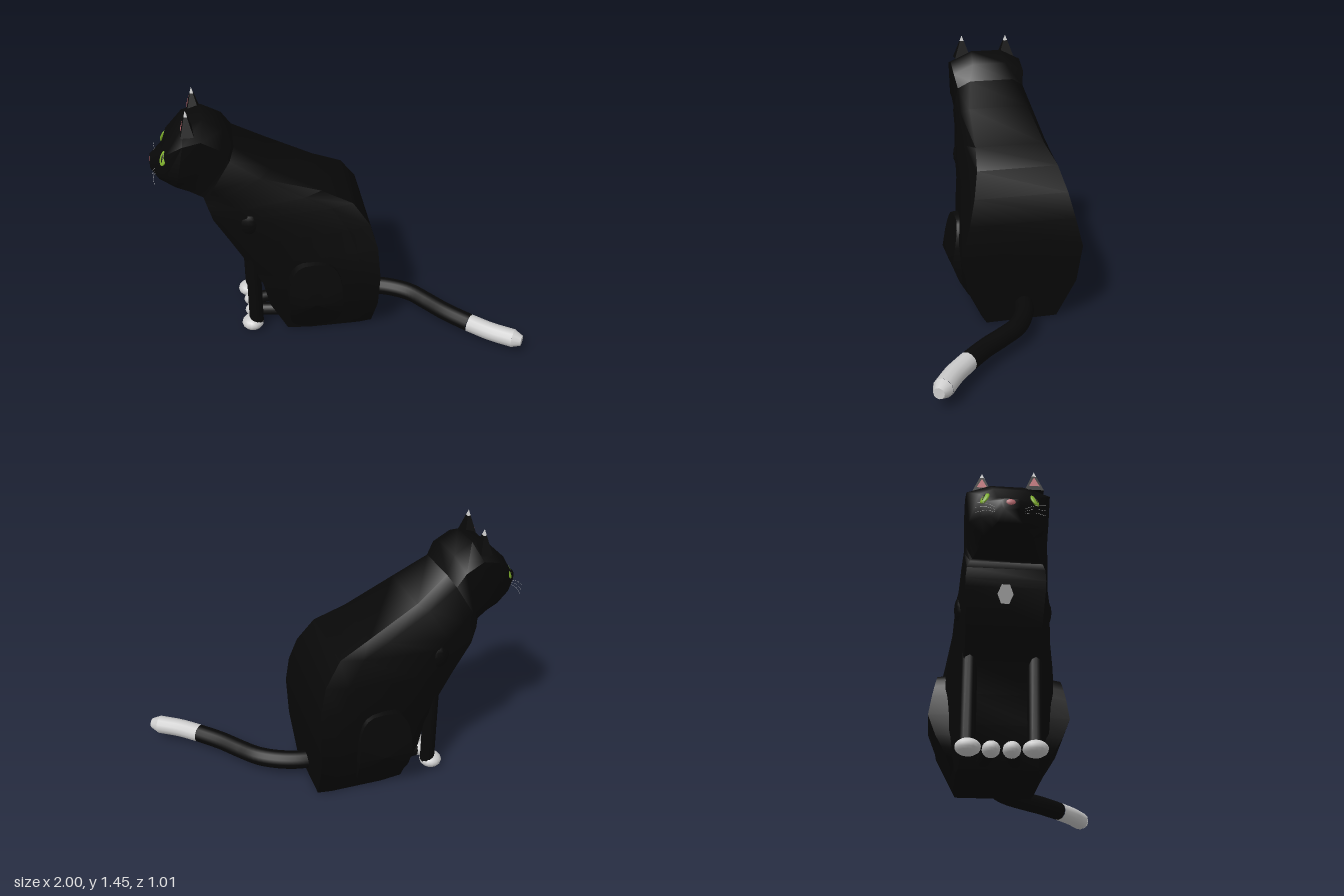
import * as THREE from 'three';
import { toCreasedNormals } from 'three/addons/utils/BufferGeometryUtils.js';

const mat = (color) => new THREE.MeshStandardMaterial({ color });
const V = (x, y, z) => new THREE.Vector3(x, y, z);

// Body rings: front x,y, back x,y, then half widths from front to back
const BODY = [
  [-0.31, 0.005, 0.19, 0.005, 0.2, 0.215, 0.215, 0.205],
  [-0.41, 0.2, 0.205, 0.22, 0.2, 0.28, 0.32, 0.315],
  [-0.44, 0.35, 0.21, 0.43, 0.2, 0.28, 0.335, 0.345],
  [-0.53, 0.52, 0.2, 0.6, 0.19, 0.27, 0.31, 0.3],
  [-0.6, 0.65, 0.16, 0.74, 0.19, 0.25, 0.28, 0.265],
  [-0.69, 0.82, 0.07, 0.87, 0.2, 0.24, 0.25, 0.23],
  [-0.7, 0.86, -0.1, 0.95, 0.2, 0.225, 0.235, 0.2],
  [-0.715, 0.91, -0.37, 1.1, 0.195, 0.215, 0.218, 0.175],
  [-0.725, 0.94, -0.55, 1.22, 0.18, 0.21, 0.2, 0.13],
];
const HEAD = [
  BODY[8],
  [-0.73, 0.95, -0.6, 1.31, 0.17, 0.205, 0.215, 0.1],
  [-0.8, 0.975, -0.7, 1.37, 0.14, 0.2, 0.215, 0.09],
  [-0.87, 0.995, -0.8, 1.34, 0.12, 0.195, 0.21, 0.09],
  [-0.92, 1.01, -0.9, 1.25, 0.085, 0.14, 0.15, 0.08],
  [-0.955, 1.02, -0.925, 1.18, 0.06, 0.095, 0.11, 0.06],
  [-0.995, 1.07, -0.995, 1.13, 0.03, 0.045, 0.045, 0.03],
];

// Loft eight-sided sections through a list of rings and close both ends
function loft(rings) {
  const along = [0, 0.25, 0.84, 1], pos = [], idx = [];
  for (const [fx, fy, bx, by, ...w] of rings) {
    for (let k = 0; k < 8; k++) {
      const j = k < 4 ? k : 7 - k, u = along[j];
      pos.push(fx + (bx - fx) * u, fy + (by - fy) * u, k < 4 ? -w[j] : w[j]);
    }
  }
  for (let i = 0; i < rings.length - 1; i++) {
    for (let k = 0; k < 8; k++) {
      const a = i * 8 + k, b = i * 8 + (k + 1) % 8;
      idx.push(a, a + 8, b + 8, a, b + 8, b);
    }
  }
  const end = (rings.length - 1) * 8;
  for (let k = 1; k < 7; k++) idx.push(0, k, k + 1, end, end + k + 1, end + k);
  const geo = new THREE.BufferGeometry();
  geo.setAttribute('position', new THREE.Float32BufferAttribute(pos, 3));
  geo.setIndex(idx);
  return toCreasedNormals(geo, 0.9);
}

// Squarish thigh pad that narrows towards the foot and top, like the body behind it
function haunchGeometry(s) {
  const geo = new THREE.CylinderGeometry(0.88, 1, 0.16, 24);
  geo.rotateX(s * Math.PI / 2);
  const p = geo.attributes.position;
  const square = (v) => Math.sign(v) * Math.abs(v) ** 0.65;
  for (let i = 0; i < p.count; i++) {
    const y = 0.285 + 0.275 * square(p.getY(i));
    const f = y < 0.3 ? Math.min(1, 0.6 + 1.6 * y) : 1 - 0.5 * (y - 0.3);
    p.setXYZ(i, -0.155 + 0.165 * square(p.getX(i)), y, (p.getZ(i) + s * 0.28) * f);
  }
  return toCreasedNormals(geo, 0.6);
}

export function createModel() {
  const model = new THREE.Group();
  const cat = new THREE.Group();
  cat.name = 'cat';
  cat.position.z = -0.14;
  model.add(cat);

  const black = mat(0x080808), white = mat(0xcccccc), pink = mat(0xb5656b);
  const green = mat(0x7fb02a);
  pink.side = THREE.DoubleSide;

  const add = (name, geo, material, x = 0, y = 0, z = 0) => {
    const mesh = new THREE.Mesh(geo, material);
    mesh.name = name;
    mesh.position.set(x, y, z);
    cat.add(mesh);
    return mesh;
  };
  const ball = (name, material, x, y, z, sx, sy, sz) => {
    const mesh = add(name, new THREE.SphereGeometry(1, 14, 10), material, x, y, z);
    mesh.scale.set(sx, sy, sz);
    return mesh;
  };
  const tube = (name, points, r, material, segments = 12, sides = 10) =>
    add(name, new THREE.TubeGeometry(new THREE.CatmullRomCurve3(points), segments, r, sides), material);

  add('body', loft(BODY), black);
  add('head', loft(HEAD), black);

  for (const s of [1, -1]) {
    // Legs and paws
    add('haunch', haunchGeometry(s), black);
    ball('shoulder', black, -0.49, 0.79, s * 0.19, 0.075, 0.095, 0.06);
    add('frontLeg', new THREE.CylinderGeometry(0.041, 0.041, 0.7, 12), black, -0.49, 0.4, s * 0.165);
    ball('frontPaw', white, -0.512, 0.045, s * 0.162, 0.064, 0.042, 0.064);
    tube('hindFoot', [V(-0.25, 0.048, s * 0.09), V(-0.36, 0.048, s * 0.07), V(-0.47, 0.046, s * 0.052)], 0.037, black);
    ball('hindPaw', white, -0.49, 0.045, s * 0.05, 0.06, 0.04, 0.045);

    // Ears with pale tips and pink inner faces
    const ex = -0.763 - s * 0.018, ez = s * 0.132;
    const ear = new THREE.CylinderGeometry(0.017, 0.068, 0.1, 4, 1, false, Math.PI / 4);
    add('ear', toCreasedNormals(ear.scale(0.7, 1, 1), 0.5), black, ex, 1.37, ez);
    const tip = new THREE.ConeGeometry(0.017, 0.033, 4, 1, false, Math.PI / 4);
    add('earTip', toCreasedNormals(tip.scale(0.7, 1, 1), 0.5), white, ex, 1.436, ez);
    const inner = new THREE.BufferGeometry().setFromPoints(
      [V(-0.032, 1.345, -0.027), V(-0.032, 1.345, 0.027), V(-0.015, 1.41, 0)]);
    inner.computeVertexNormals();
    add('innerEar', inner, pink, ex, 0, ez);

    // Eyes with slit pupils
    const eye = new THREE.Group();
    eye.name = 'eye';
    eye.position.set(-0.916, 1.18, s * 0.122);
    eye.rotation.set(0, s * 0.7, -0.45);
    cat.add(eye);
    const iris = ball('iris', green, 0, 0, 0, 0.01, 0.042, 0.024);
    const pupil = ball('pupil', black, -0.006, 0, 0, 0.006, 0.028, 0.006);
    eye.add(iris, pupil);

    // Whiskers
    for (const k of [-1, 0, 1]) {
      tube('whisker', [V(-0.965, 1.08 + k * 0.012, s * 0.06), V(-0.98, 1.087 + k * 0.02, s * 0.115),
        V(-0.975, 1.085 + k * 0.03, s * 0.17)], 0.0008, white, 6, 4);
    }
  }

  ball('nose', pink, -0.986, 1.112, 0, 0.014, 0.022, 0.03);

  // Pale diamond on the chest
  const patch = add('chestPatch', new THREE.CylinderGeometry(0.05, 0.05, 0.012, 6), white, -0.674, 0.79, 0);
  patch.scale.set(1.1, 1, 0.8);
  patch.rotation.z = -1.08;

  // Tail sweeping sideways just above the ground, with a pale end
  tube('tail', [V(0.12, 0.1, -0.015), V(0.24, 0.1, 0), V(0.35, 0.1, 0.04), V(0.45, 0.1, 0.105),
    V(0.53, 0.098, 0.2), V(0.62, 0.098, 0.315), V(0.73, 0.098, 0.43)], 0.053, black, 28, 12);
  tube('tailTip', [V(0.73, 0.098, 0.43), V(0.83, 0.098, 0.52), V(0.94, 0.098, 0.595)], 0.053, white, 10, 12);
  const end = add('tailEnd', new THREE.CylinderGeometry(0.03, 0.053, 0.05, 12), white, 0.96, 0.098, 0.61);
  end.quaternion.setFromUnitVectors(V(0, 1, 0), V(0.12, 0, 0.08).normalize());

  return model;
}
